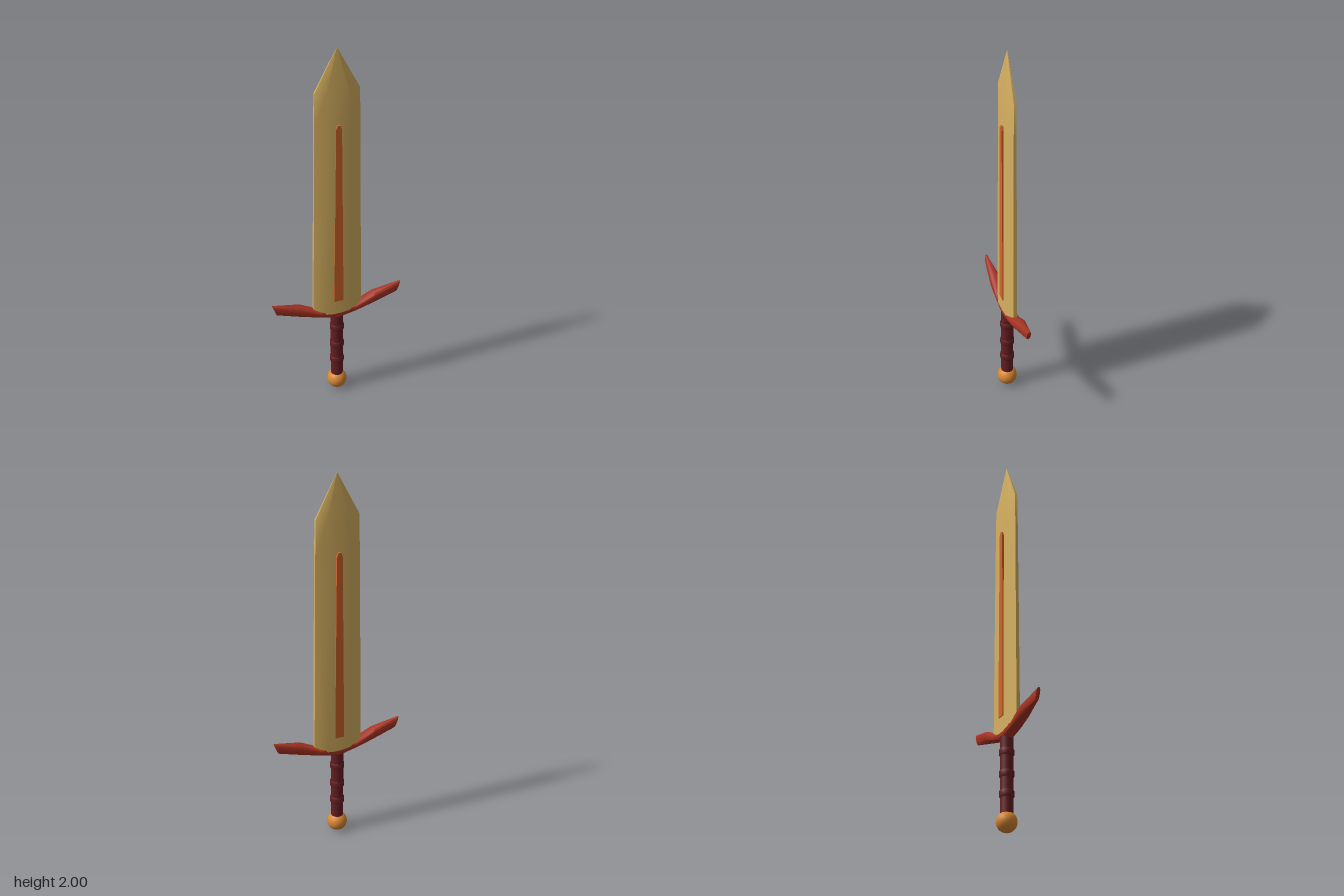
import * as THREE from 'three';
import { toCreasedNormals } from 'three/addons/utils/BufferGeometryUtils.js';

// Skins a list of rings (same point count, counter-clockwise seen from the far end) and caps both ends
function loft(rings, crease) {
  const n = rings[0].length, pos = [];
  const tri = (a, b, c) => pos.push(...a, ...b, ...c);
  for (let i = 0; i < rings.length - 1; i++) {
    const a = rings[i], b = rings[i + 1];
    for (let j = 0; j < n; j++) {
      const k = (j + 1) % n;
      tri(a[j], a[k], b[k]);
      tri(a[j], b[k], b[j]);
    }
  }
  const first = rings[0], last = rings[rings.length - 1];
  for (let j = 1; j < n - 1; j++) {
    tri(first[0], first[j + 1], first[j]);
    tri(last[0], last[j], last[j + 1]);
  }
  const g = new THREE.BufferGeometry();
  g.setAttribute('position', new THREE.Float32BufferAttribute(pos, 3));
  return toCreasedNormals(g, crease);
}

export function createModel() {
  const mat = (name, color) => {
    const m = new THREE.MeshStandardMaterial({ color });
    m.name = name;
    return m;
  };
  const gold = mat('pale gold', 0xd6b060);
  const orange = mat('burnt orange', 0xd0662a);
  const red = mat('guard red', 0xa83424);
  const maroon = mat('grip maroon', 0x641e22);
  const amber = mat('pommel amber', 0xd68632);

  const model = new THREE.Group();
  model.name = 'sword';
  const add = (name, geometry, material, y = 0) => {
    const mesh = new THREE.Mesh(geometry, material);
    mesh.name = name;
    mesh.position.y = y;
    model.add(mesh);
    return mesh;
  };

  // Blade: bevelled section that tapers upward and closes to a point
  const bladeRing = ([y, w, d, e]) => {
    const f = w * 0.5;
    return [[-f, d], [f, d], [w, e], [w, -e], [f, -d], [-f, -d], [-w, -e], [-w, e]]
      .map(([x, z]) => [x, y, z]);
  };
  add('blade', loft([
    [0.5, 0.13, 0.029, 0.009],
    [1.2, 0.122, 0.026, 0.008],
    [1.6, 0.117, 0.022, 0.007],
    [1.78, 0.114, 0.017, 0.006],
    [2.0, 0.001, 0.001, 0.0005],
  ].map(bladeRing), 0.7), gold);

  // Inlay: tapered strip standing proud of both blade faces
  const strip = new THREE.Shape([
    [-0.025, 0.58], [0.025, 0.58], [0.015, 1.585], [0.007, 1.605], [-0.007, 1.605], [-0.015, 1.585],
  ].map(([x, y]) => new THREE.Vector2(x, y)));
  const stripGeo = new THREE.ExtrudeGeometry(strip, { depth: 0.066, bevelEnabled: false });
  stripGeo.translate(0, 0, -0.033);
  add('bladeInlay', stripGeo, orange);

  // Crossguard: rounded section swept sideways, wings rising to slanted ends
  // [bottom x, bottom y, top x, top y, half depth]
  const half = [
    [0, 0.46, 0, 0.525, 0.03],
    [0.1, 0.487, 0.1, 0.525, 0.03],
    [0.19, 0.511, 0.2, 0.576, 0.03],
    [0.326, 0.547, 0.35, 0.609, 0.01],
  ];
  const mirrored = half.slice(1).reverse().map(([bx, by, tx, ty, d]) => [-bx, by, -tx, ty, d]);
  const round = (v) => Math.sign(v) * Math.pow(Math.abs(v), 0.75);
  const guardRing = ([bx, by, tx, ty, d]) => Array.from({ length: 12 }, (_, j) => {
    const a = (j / 12) * Math.PI * 2, t = round(Math.cos(a));
    return [
      (bx + tx) / 2 + t * (tx - bx) / 2,
      (by + ty) / 2 + t * (ty - by) / 2,
      round(Math.sin(a)) * d,
    ];
  });
  add('crossguard', loft([...mirrored, ...half].map(guardRing), 0.65), red);

  // Grip with raised wrap bands
  add('grip', new THREE.CylinderGeometry(0.033, 0.032, 0.39, 20), maroon, 0.285);
  for (const y of [0.19, 0.29, 0.4]) {
    const band = new THREE.LatheGeometry([
      [0.03, -0.022], [0.037, -0.013], [0.037, 0.013], [0.03, 0.022],
    ].map(([r, h]) => new THREE.Vector2(r, h)), 20);
    add('gripBand', band, maroon, y);
  }

  // Pommel
  add('pommel', new THREE.SphereGeometry(0.052, 28, 18), amber, 0.052);

  return model;
}
